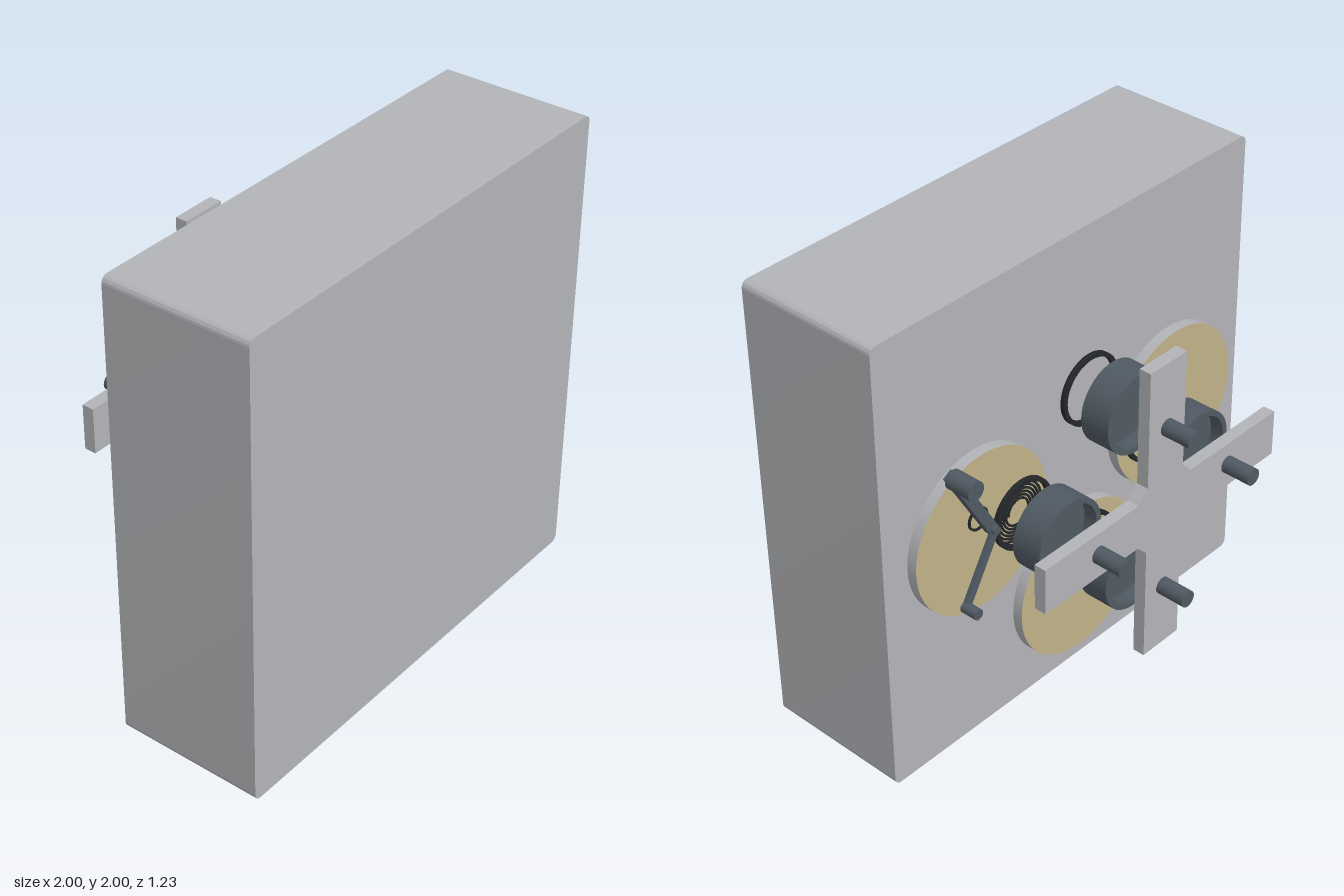
import * as THREE from 'three';
import { toCreasedNormals } from 'three/addons/utils/BufferGeometryUtils.js';

const mat = (name, color, extra = {}) => {
  const m = new THREE.MeshStandardMaterial({ color, ...extra });
  m.name = name;
  return m;
};

export function createModel() {
  const grey = mat('light grey', 0xb3b4b8);
  const tan = mat('tan', 0xc0b188);
  const slate = mat('slate', 0x505a63);
  const black = mat('black', 0x24272a);
  const model = new THREE.Group();

  const add = (name, geometry, material, x = 0, y = 0, z = 0) => {
    const mesh = new THREE.Mesh(geometry, material);
    mesh.name = name;
    mesh.position.set(x, y, z);
    model.add(mesh);
    return mesh;
  };

  // Cylinder along z between two depths, its top cap facing the back
  const rod = (name, r, x, y, zBack, zFront, material, sides = 32) =>
    add(name, new THREE.CylinderGeometry(r, r, zFront - zBack, sides).rotateX(-Math.PI / 2),
      material, x, y, (zBack + zFront) / 2);

  // Plate cut from a shape, between two depths
  const plate = (name, shape, zBack, zFront, material) =>
    add(name, toCreasedNormals(new THREE.ExtrudeGeometry(shape,
      { depth: zFront - zBack, bevelEnabled: false, curveSegments: 32 }), 0.6), material, 0, 0, zBack);

  // Flat ring
  const ring = (name, outer, inner, x, y, zBack, zFront) => {
    const s = new THREE.Shape().absarc(x, y, outer, 0, Math.PI * 2);
    s.holes.push(new THREE.Path().absarc(x, y, inner, 0, Math.PI * 2, true));
    return plate(name, s, zBack, zFront, black);
  };

  // Straight bar joining two points in x and y
  const bar = (name, x0, y0, x1, y1, width, zBack, zFront) => {
    const length = Math.hypot(x1 - x0, y1 - y0) + width * 0.6;
    const b = add(name, new THREE.BoxGeometry(length, width, zFront - zBack), slate,
      (x0 + x1) / 2, (y0 + y1) / 2, (zBack + zFront) / 2);
    b.rotation.z = Math.atan2(y1 - y0, x1 - x0);
  };

  // Case: square block with rounded upright edges along z
  const r = 0.03;
  const square = new THREE.Shape();
  square.absarc(1 - r, 2 - r, r, 0, Math.PI / 2);
  square.absarc(-1 + r, 2 - r, r, Math.PI / 2, Math.PI);
  square.absarc(-1 + r, r, r, Math.PI, Math.PI * 1.5);
  square.absarc(1 - r, r, r, Math.PI * 1.5, Math.PI * 2);
  square.closePath();
  plate('case', square, -0.02, 0.615, grey);

  // Three dials with tan faces
  for (const [x, y] of [[-0.545, 1], [0.545, 1], [0, 0.455]]) {
    rod('dial', 0.345, x, y, -0.075, -0.03, [grey, tan, grey], 64);
  }

  // Four stations: ring, cup and shaft
  const cupProfile = [[0, 0.22], [0.168, 0.22], [0.168, 0.35], [0.145, 0.35], [0.145, 0.29], [0, 0.29]]
    .map(([a, b]) => new THREE.Vector2(a, b));
  const cup = toCreasedNormals(new THREE.LatheGeometry(cupProfile, 48).rotateX(-Math.PI / 2), 0.6);
  for (const [x, y] of [[-0.37, 1], [0.37, 1], [0, 1.37], [0, 0.63]]) {
    ring('retainingRing', 0.15, 0.132, x, y + 0.003, -0.122, -0.102);
    add('cup', cup, slate, x, y + 0.003, 0);
    rod('shaft', 0.035, x, y + 0.008, -0.615, -0.485, slate);
  }

  // Cross plate with chamfered inner corners
  const a = 0.1, c = 0.15, e = 0.655;
  const quarter = [[e, a], [c, a], [a, c], [a, e]];
  const cross = new THREE.Shape();
  for (let i = 0; i < 4; i++) {
    const cos = Math.round(Math.cos(i * Math.PI / 2)), sin = Math.round(Math.sin(i * Math.PI / 2));
    quarter.forEach(([x, y], j) => {
      const px = x * cos - y * sin, py = 1.003 + x * sin + y * cos;
      if (i + j === 0) cross.moveTo(px, py); else cross.lineTo(px, py);
    });
  }
  cross.closePath();
  plate('crossPlate', cross, -0.487, -0.435, grey);

  // Flat spiral spring behind the left ring
  const turns = 6, points = [];
  for (let i = 0; i <= turns * 16; i++) {
    const t = i / 16, rad = 0.05 + 0.083 * t / turns;
    points.push(new THREE.Vector3(rad * Math.cos(t * Math.PI * 2), rad * Math.sin(t * Math.PI * 2), 0));
  }
  add('spiralSpring', new THREE.TubeGeometry(new THREE.CatmullRomCurve3(points), 240, 0.005, 6),
    black, 0.37, 1, -0.087);

  // Crank with handle and pivot
  ring('pivotRing', 0.05, 0.042, 0.585, 1.09, -0.096, -0.088);
  bar('crankArm', 0.59, 1.09, 0.777, 1.415, 0.045, -0.175, -0.142);
  rod('crankHandle', 0.039, 0.777, 1.415, -0.278, -0.165, slate);
  rod('crankPivot', 0.018, 0.588, 1.087, -0.193, -0.14, slate);

  // Short lever with pin
  bar('lever', 0.53, 1.015, 0.685, 0.75, 0.03, -0.128, -0.108);
  rod('leverPin', 0.023, 0.687, 0.748, -0.183, -0.11, slate);

  return model;
}
